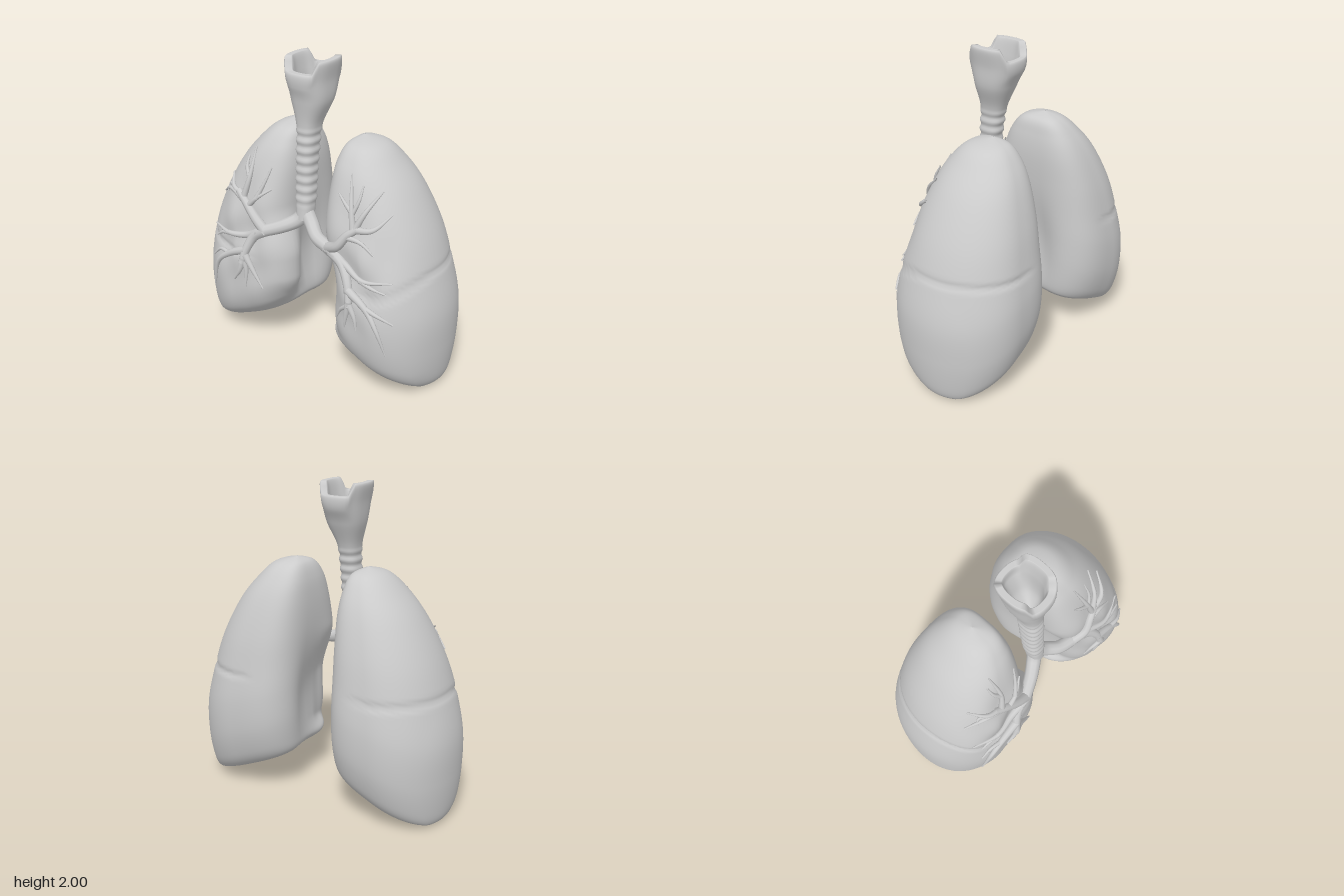
import * as THREE from 'three';

const material = new THREE.MeshStandardMaterial({ color: 0xcccccc, side: THREE.DoubleSide });
const { lerp, smoothstep } = THREE.MathUtils;

// Surface through closed rings; point(s, angle) returns [x, y, z]
function loft(name, rows, cols, point) {
  const pos = [], index = [];
  for (let i = 0; i <= rows; i++)
    for (let j = 0; j < cols; j++) pos.push(...point(i / rows, (j / cols) * Math.PI * 2));
  for (let i = 0; i < rows; i++)
    for (let j = 0; j < cols; j++) {
      const k = (j + 1) % cols;
      const a = i * cols + j, b = a + cols, c = (i + 1) * cols + k, d = i * cols + k;
      index.push(a, b, c, a, c, d);
    }
  const geo = new THREE.BufferGeometry();
  geo.setAttribute('position', new THREE.Float32BufferAttribute(pos, 3));
  geo.setIndex(index);
  geo.computeVertexNormals();
  const mesh = new THREE.Mesh(geo, material);
  mesh.name = name;
  return mesh;
}

// Smooth interpolation between rows of a table
function sample(table, s) {
  const f = Math.min(Math.max(s, 0), 1) * (table.length - 1);
  const i = Math.min(Math.floor(f), table.length - 2), t = f - i;
  const row = k => table[Math.min(Math.max(k, 0), table.length - 1)];
  return table[0].map((_, c) => {
    const [a, b, d, e] = [row(i - 1)[c], row(i)[c], row(i + 1)[c], row(i + 2)[c]];
    return b + 0.5 * t * (d - a + t * (2 * a - 5 * b + 4 * d - e + t * (3 * (b - d) + e - a)));
  });
}

// Lung sections: height fraction, outer x, inner x, front z, back z
const rightLung = [
  [0, 0.8, 0.2, 0.19, -0.29], [0.02, 0.845, 0.17, 0.275, -0.345], [0.08, 0.87, 0.155, 0.365, -0.395],
  [0.2, 0.885, 0.15, 0.415, -0.435], [0.35, 0.88, 0.15, 0.42, -0.44], [0.5, 0.825, 0.15, 0.395, -0.41],
  [0.65, 0.745, 0.15, 0.345, -0.37], [0.8, 0.62, 0.15, 0.27, -0.305], [0.9, 0.5, 0.165, 0.2, -0.235],
  [0.97, 0.39, 0.195, 0.11, -0.15], [1, 0.282, 0.28, -0.03, -0.032],
];
const innerLeft = [0.18, 0.145, 0.13, 0.12, 0.12, 0.12, 0.12, 0.125, 0.14, 0.175, 0.24];
const leftLung = rightLung.map((r, i) => [r[0], i === 10 ? 0.242 : r[1], innerLeft[i], r[3], r[4]]);

const TOP = 1.53;
const floorY = x => 0.28 * Math.min(Math.max((0.8 - x) / 0.65, 0), 1);
const power = u => (u > 0 ? 2.05 : 3.2);

// Front inner edge: cut back on the left lung, bulging on the right lung
function frontEdge(side, t) {
  return side > 0
    ? 0.1 * smoothstep(t, 0, 0.12) * (1 - smoothstep(t, 0.35, 0.62))
    : 0.06 * (1 - smoothstep(t, 0, 0.1)) - 0.09 * smoothstep(t, 0.02, 0.22) * (1 - smoothstep(t, 0.33, 0.6));
}

// Shallow, rippled hollow in the front where the airways lie
function hollow(x, y) {
  const g = Math.exp(-(((x - 0.43) / 0.2) ** 2) - ((y - 0.78) / 0.34) ** 2);
  return 0.05 * g * (0.75 + 0.5 * Math.sin(17 * x + 6 * y) * Math.cos(13 * y - 5 * x));
}

function makeLung(side) {
  const table = side > 0 ? leftLung : rightLung;
  return loft(side > 0 ? 'leftLung' : 'rightLung', 118, 72, (s, angle) => {
    const a = angle * side;
    const cap = Math.min(s * 118 / 8, 1);
    const [t, xo, xi, zf, zb] = sample(table, (s * 118 - 8) / 110);
    const cu = Math.cos(a), sv = Math.sin(a);
    const n = power(cu);
    const u = cap * Math.sign(cu) * Math.abs(cu) ** (2 / n);
    const v = cap * Math.sign(sv) * Math.abs(sv) ** (2 / n);
    let x = lerp(xi, xo, (u + 1) / 2);
    let z = lerp(zb, zf, (v + 1) / 2);
    const inward = (1 - u) / 2;
    x += frontEdge(side, t) * inward * smoothstep(z, 0, 0.22);
    const fl = floorY(x);
    // domed underside
    const y = fl + t * (TOP - fl) + 0.11 * (1 - cap * cap);
    // hollow in the middle of the inner face
    x += 0.09 * inward ** 3 * Math.exp(-((z / 0.16) ** 2) - ((y - 0.6) / 0.34) ** 2);
    // crease between the lobes
    const crease = 0.012 * Math.exp(-(((y - 0.81 + 0.7 * Math.max(z, 0) ** 2) / 0.016) ** 2)) * smoothstep(u, -0.5, 0.1);
    x -= crease * u;
    z -= crease * v;
    if (v > 0) z -= hollow(x, y) * smoothstep(v, 0.3, 0.8) * cap;
    return [x * side, y, z];
  });
}

// Depth of the lung's front surface at (x, y)
function frontZ(side, x, y) {
  const table = side > 0 ? leftLung : rightLung, fl = floorY(x);
  const t = (y - fl) / (TOP - fl);
  let lo = 0, hi = 1;
  for (let i = 0; i < 20; i++) {
    const m = (lo + hi) / 2;
    if (sample(table, m)[0] < t) lo = m; else hi = m;
  }
  const [, xo, xi, zf, zb] = sample(table, lo);
  const inner = xi + frontEdge(side, t);
  const u = Math.min(Math.max((2 * (x - inner)) / (xo - inner) - 1, -0.97), 0.97);
  const n = power(u), v = (1 - Math.abs(u) ** n) ** (1 / n);
  return lerp(zb, zf, (v + 1) / 2) - hollow(x, y) * smoothstep(v, 0.3, 0.8);
}

// Tube narrowing from r0 to r1
function taperedTube(name, points, r0, r1) {
  const path = new THREE.CatmullRomCurve3(points), seg = 24, radial = 10;
  const geo = new THREE.TubeGeometry(path, seg, 1, radial);
  const p = geo.attributes.position, v = new THREE.Vector3();
  for (let i = 0; i <= seg; i++) {
    const c = path.getPointAt(i / seg), r = lerp(r0, r1, i / seg);
    for (let j = 0; j <= radial; j++) {
      const k = i * (radial + 1) + j;
      v.fromBufferAttribute(p, k).sub(c).multiplyScalar(r).add(c);
      p.setXYZ(k, v.x, v.y, v.z);
    }
  }
  const mesh = new THREE.Mesh(geo, material);
  mesh.name = name;
  return mesh;
}

// Airway branches: start radius, then x, y pairs measured outward from the middle
const branches = {
  '-1': [
    [0.036, 0.24, 0.89, 0.31, 0.95, 0.41, 1.04, 0.48, 1.09],
    [0.024, 0.41, 1.04, 0.55, 1.08, 0.67, 1.01], [0.02, 0.45, 1.07, 0.53, 1.1, 0.61, 1.15],
    [0.022, 0.43, 1.06, 0.4, 1.2, 0.41, 1.37], [0.016, 0.41, 1.2, 0.44, 1.25, 0.45, 1.31],
    [0.019, 0.38, 1.02, 0.31, 1.09, 0.23, 1.15], [0.016, 0.32, 1.08, 0.28, 1.18, 0.25, 1.28],
    [0.014, 0.52, 1.09, 0.58, 1.1, 0.6, 1.04],
    [0.03, 0.28, 0.87, 0.38, 0.82, 0.52, 0.8, 0.69, 0.8], [0.017, 0.52, 0.8, 0.59, 0.78, 0.65, 0.74],
    [0.038, 0.24, 0.89, 0.32, 0.83, 0.37, 0.73, 0.39, 0.64],
    [0.029, 0.37, 0.73, 0.5, 0.67, 0.61, 0.58, 0.68, 0.37], [0.017, 0.5, 0.66, 0.6, 0.66, 0.67, 0.6],
    [0.024, 0.38, 0.68, 0.41, 0.58, 0.47, 0.49], [0.024, 0.37, 0.7, 0.31, 0.6, 0.24, 0.49],
    [0.019, 0.37, 0.66, 0.36, 0.58, 0.37, 0.47],
  ],
  1: [
    [0.036, 0.23, 0.91, 0.32, 0.96, 0.38, 1.04, 0.44, 1.09],
    [0.024, 0.42, 1.08, 0.53, 1.1, 0.6, 1.18], [0.022, 0.41, 1.08, 0.38, 1.2, 0.33, 1.38],
    [0.022, 0.42, 1.08, 0.47, 1.19, 0.52, 1.3], [0.016, 0.38, 1.18, 0.33, 1.22, 0.28, 1.26],
    [0.019, 0.38, 1.03, 0.48, 1.02, 0.57, 0.96], [0.014, 0.39, 1.16, 0.42, 1.25, 0.42, 1.33],
    [0.03, 0.25, 0.91, 0.38, 0.85, 0.52, 0.8, 0.69, 0.81], [0.017, 0.5, 0.8, 0.58, 0.77, 0.67, 0.75],
    [0.038, 0.23, 0.91, 0.35, 0.85, 0.42, 0.75, 0.45, 0.62],
    [0.028, 0.43, 0.72, 0.57, 0.63, 0.65, 0.52, 0.7, 0.36], [0.018, 0.56, 0.64, 0.64, 0.62, 0.73, 0.57],
    [0.024, 0.45, 0.66, 0.43, 0.56, 0.41, 0.46], [0.021, 0.45, 0.64, 0.49, 0.55, 0.5, 0.47],
    [0.017, 0.44, 0.62, 0.38, 0.57, 0.34, 0.5],
  ],
};

function makeAirways(side) {
  const group = new THREE.Group();
  group.name = side > 0 ? 'leftAirways' : 'rightAirways';
  const endX = side > 0 ? 0.23 : 0.24, endY = side > 0 ? 0.91 : 0.89;
  group.add(taperedTube('mainBronchus', [
    new THREE.Vector3(-0.015, 1.05, 0.225), new THREE.Vector3(side * 0.05, 0.985, 0.25),
    new THREE.Vector3(side * 0.13, 0.935, 0.3),
    new THREE.Vector3(side * endX, endY, frontZ(side, endX, endY) + 0.01),
  ], 0.048, 0.04));
  for (const [r, ...xy] of branches[side]) {
    const points = [];
    for (let i = 0; i < xy.length; i += 2)
      points.push(new THREE.Vector3(side * xy[i], xy[i + 1], frontZ(side, xy[i], xy[i + 1]) + 0.012));
    group.add(taperedTube('airwayBranch', points, r, r > 0.035 ? 0.022 : 0.005));
  }
  return group;
}

// Windpipe sections up the outside and down the inside: y, centre x, half width, centre z, half depth
const pipe = [
  [1.0, -0.015, 0.05, 0.23, 0.055], [1.15, -0.018, 0.058, 0.212, 0.062], [1.3, -0.02, 0.06, 0.2, 0.066],
  [1.45, -0.02, 0.062, 0.188, 0.072], [1.6, -0.02, 0.07, 0.17, 0.083], [1.75, -0.014, 0.118, 0.146, 0.125],
  [1.88, -0.018, 0.133, 0.135, 0.16], [1.99, -0.02, 0.15, 0.132, 0.165], [2.0, -0.02, 0.112, 0.13, 0.125],
  [1.9, -0.02, 0.09, 0.13, 0.11], [1.72, -0.018, 0.07, 0.145, 0.075], [1.6, -0.018, 0.002, 0.17, 0.002],
];

function makeWindpipe() {
  return loft('windpipe', 165, 40, (s, a) => {
    let [y, cx, rx, cz, rz] = sample(pipe, s);
    // cartilage rings
    const ripple = smoothstep(y, 1.07, 1.12) * (1 - smoothstep(y, 1.54, 1.6)) * (s < 0.5 ? 1 : 0);
    const k = 1 + 0.065 * ripple * Math.sin((y * Math.PI * 2) / 0.062);
    const c = Math.cos(a), d = Math.sin(a);
    // rim dips at the front and back
    y = Math.min(y, 2) - 0.075 * smoothstep(Math.abs(d), 0.6, 0.85) * smoothstep(y, 1.75, 2);
    return [cx + k * rx * Math.sign(c) * Math.abs(c) ** 0.8, y, cz + k * rz * Math.sign(d) * Math.abs(d) ** 0.8];
  });
}

export function createModel() {
  const model = new THREE.Group();
  model.name = 'lungs';
  for (const side of [-1, 1]) model.add(makeLung(side), makeAirways(side));
  model.add(makeWindpipe());
  return model;
}
